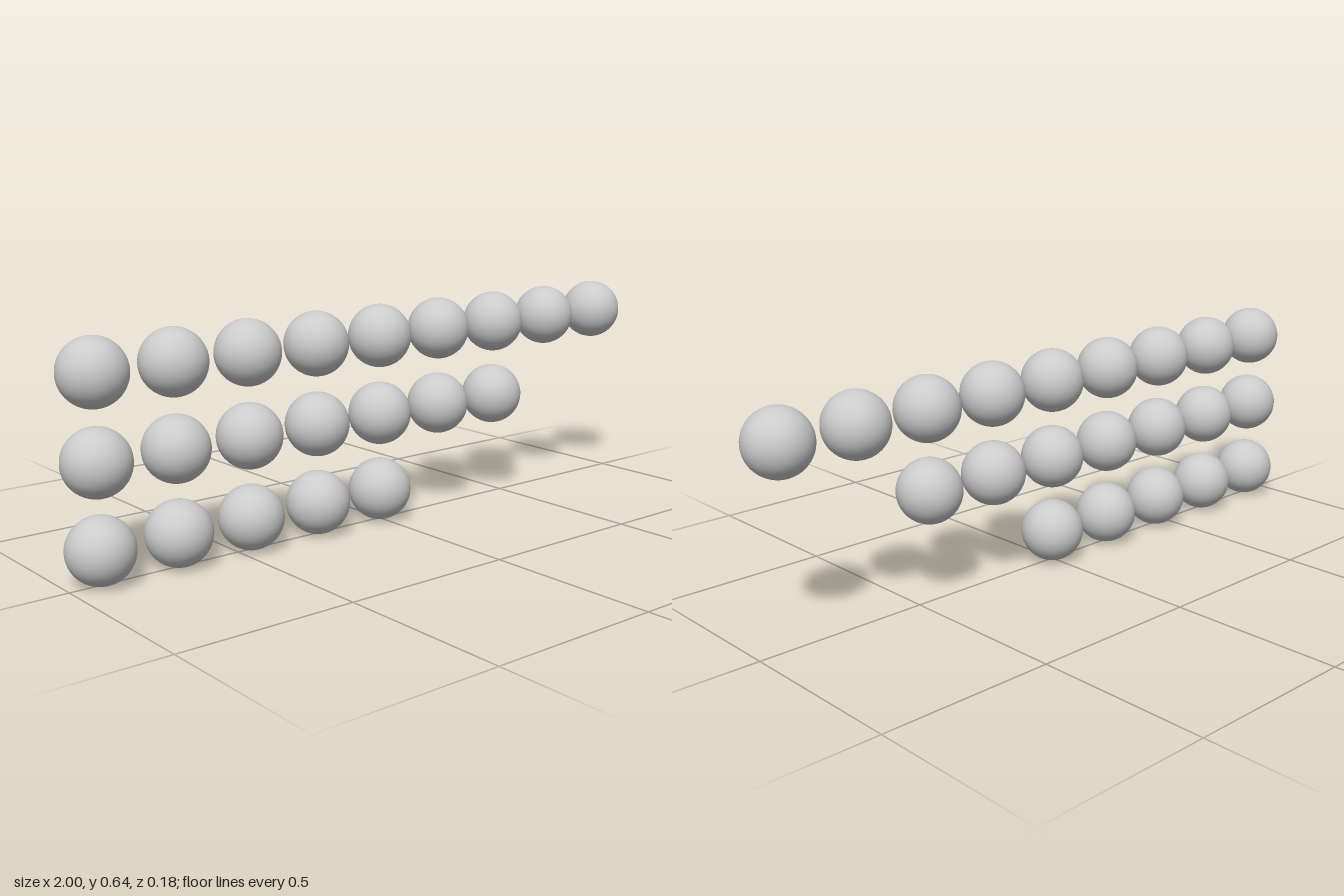
import * as THREE from 'three';

// Three left-aligned rows of equal balls, each row longer than the one below
export function createModel() {
  const model = new THREE.Group();
  model.name = 'ballRows';

  const radius = 1 / 11;
  const spacing = 2.5 * radius;
  const rowCounts = [5, 7, 9]; // bottom to top
  const rowNames = ['bottomRow', 'middleRow', 'topRow'];

  const ballGeometry = new THREE.SphereGeometry(radius, 48, 32);
  const material = new THREE.MeshStandardMaterial({ color: 0xcccccc });

  rowCounts.forEach((count, r) => {
    const row = new THREE.Group();
    row.name = rowNames[r];
    row.position.set(-1 + radius, radius + r * spacing, 0);
    for (let i = 0; i < count; i++) {
      const ball = new THREE.Mesh(ballGeometry, material);
      ball.name = `ball${i + 1}`;
      ball.position.x = i * spacing;
      row.add(ball);
    }
    model.add(row);
  });

  return model;
}
